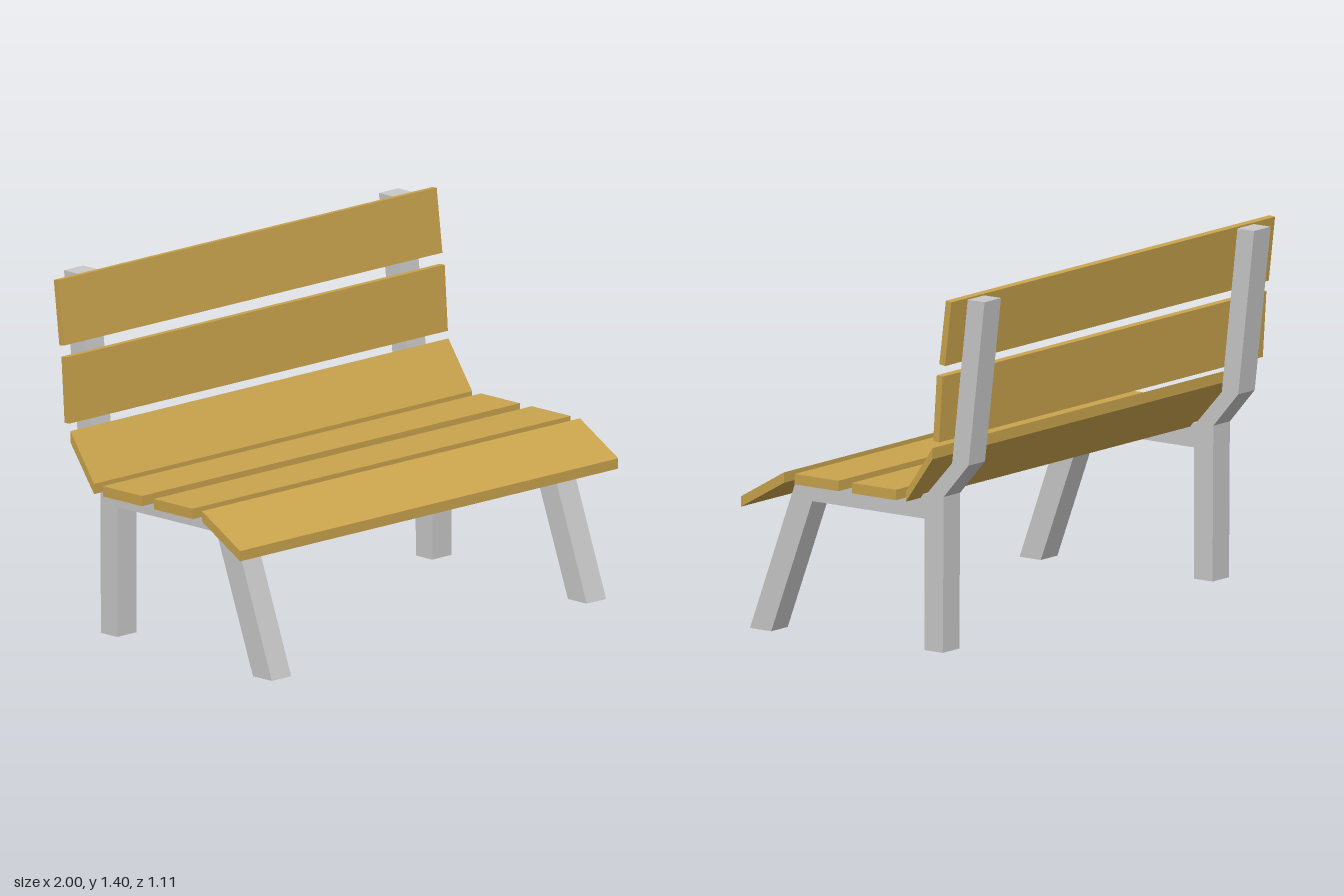
import * as THREE from 'three';

// Extrudes a side profile of [z, y] points along x, from x0 to x1.
function sideExtrude(points, x0, x1, material, name) {
  const shape = new THREE.Shape(points.map(([z, y]) => new THREE.Vector2(-z, y)));
  const geometry = new THREE.ExtrudeGeometry(shape, { depth: x1 - x0, bevelEnabled: false });
  geometry.rotateY(Math.PI / 2).translate(x0, 0, 0);
  const mesh = new THREE.Mesh(geometry, material);
  mesh.name = name;
  return mesh;
}

export function createModel() {
  const bench = new THREE.Group();
  bench.name = 'bench';

  const wood = new THREE.MeshStandardMaterial({ color: 0xcaa44d });
  wood.name = 'wood';
  const concrete = new THREE.MeshStandardMaterial({ color: 0xc9c9c9 });
  concrete.name = 'grey frame';

  // Each end frame is one bent beam: front leg, seat rail, back leg and back post
  const frame = [
    [0.558, 0], [0.457, 0], [0.262, 0.525], [-0.27, 0.525],
    [-0.27, 0.02], [-0.358, 0.02], [-0.362, 0.62], [-0.48, 0.755],
    [-0.556, 1.393], [-0.476, 1.393], [-0.402, 0.755], [-0.28, 0.62], [0.33, 0.62],
  ];
  bench.add(sideExtrude(frame, -0.86, -0.758, concrete, 'rightFrame'));
  bench.add(sideExtrude(frame, 0.806, 0.908, concrete, 'leftFrame'));

  // Full-width planks, from the front edge up to the top of the back
  const planks = {
    frontPlank: [[0.53, 0.525], [0.53, 0.485], [0.325, 0.603], [0.325, 0.643]],
    seatPlankFront: [[0.275, 0.603], [0.275, 0.643], [0.067, 0.643], [0.067, 0.603]],
    seatPlankBack: [[0.003, 0.603], [0.003, 0.643], [-0.206, 0.643], [-0.206, 0.603]],
    lowerBackPlank: [[-0.253, 0.603], [-0.253, 0.643], [-0.38, 0.825], [-0.38, 0.782]],
    middleBackPlank: [[-0.383, 0.854], [-0.411, 0.851], [-0.428, 1.106], [-0.4, 1.108]],
    topBackPlank: [[-0.412, 1.152], [-0.439, 1.148], [-0.469, 1.397], [-0.443, 1.4]],
  };
  for (const [name, points] of Object.entries(planks)) {
    bench.add(sideExtrude(points, -1, 1, wood, name));
  }

  return bench;
}
